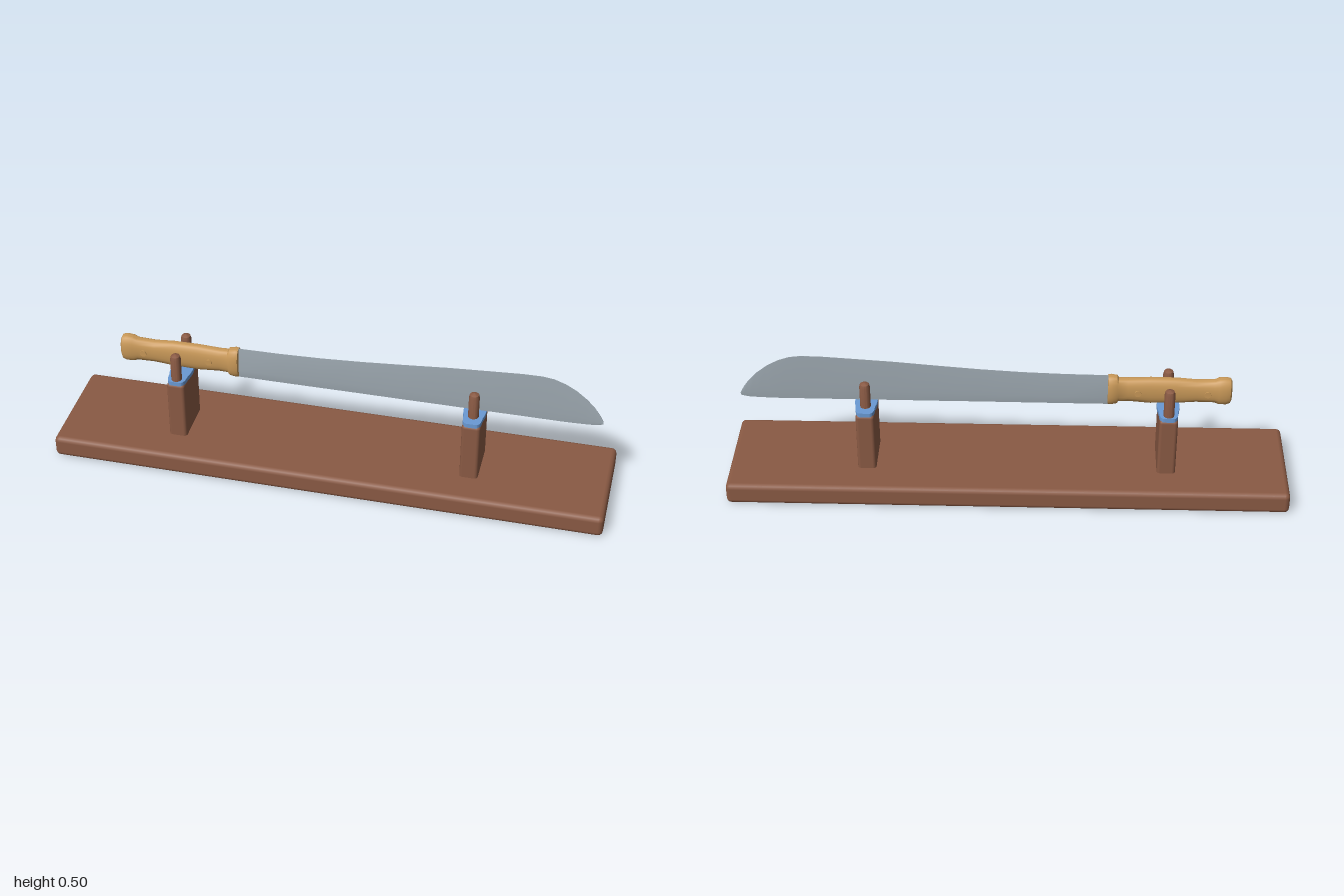
import * as THREE from 'three';
import { toCreasedNormals } from 'three/addons/utils/BufferGeometryUtils.js';
import { RoundedBoxGeometry } from 'three/addons/geometries/RoundedBoxGeometry.js';

const material = (name, color) => {
  const m = new THREE.MeshStandardMaterial({ color });
  m.name = name;
  return m;
};

// Closed solid through rings of [x, y, z] points; rings advance along +x and turn from +y to +z
function loft(rings, crease) {
  const n = rings[0].length, index = [];
  const points = rings.flat();
  for (let i = 0; i < rings.length - 1; i++) {
    for (let j = 0; j < n; j++) {
      const a = i * n + j, b = i * n + (j + 1) % n;
      index.push(a, b, a + n, b, b + n, a + n);
    }
  }
  [0, rings.length - 1].forEach((r, end) => {
    const c = points.length;
    points.push([0, 1, 2].map(k => rings[r].reduce((s, p) => s + p[k], 0) / n));
    for (let j = 0; j < n; j++) {
      const a = r * n + j, b = r * n + (j + 1) % n;
      if (end) index.push(c, a, b);
      else index.push(c, b, a);
    }
  });
  const g = new THREE.BufferGeometry();
  g.setAttribute('position', new THREE.Float32BufferAttribute(points.flat(), 3));
  g.setIndex(index);
  return toCreasedNormals(g, crease);
}

export function createModel() {
  const model = new THREE.Group();
  model.name = 'macheteOnStand';
  const wood = material('dark wood', 0x8a5a44);
  const grip = material('light wood', 0xc89858);
  const steel = material('steel', 0x9da8b0);
  const felt = material('blue felt', 0x6a9ad4);

  const add = (name, geometry, mat, x = 0, y = 0, z = 0) => {
    const mesh = new THREE.Mesh(geometry, mat);
    mesh.name = name;
    mesh.position.set(x, y, z);
    model.add(mesh);
    return mesh;
  };

  // Stand base
  add('base', new RoundedBoxGeometry(2, 0.08, 0.42, 2, 0.018), wood, 0, 0.04, 0);

  // Pad outline: an oblong with narrowed ends
  const padShape = new THREE.Shape();
  padShape.moveTo(-0.034, -0.045);
  padShape.quadraticCurveTo(-0.034, -0.087, -0.016, -0.087);
  padShape.lineTo(0.016, -0.087);
  padShape.quadraticCurveTo(0.034, -0.087, 0.034, -0.045);
  padShape.quadraticCurveTo(0.046, 0, 0.034, 0.045);
  padShape.quadraticCurveTo(0.034, 0.087, 0.016, 0.087);
  padShape.lineTo(-0.016, 0.087);
  padShape.quadraticCurveTo(-0.034, 0.087, -0.034, 0.045);
  padShape.quadraticCurveTo(-0.046, 0, -0.034, -0.045);
  const padGeometry = new THREE.ExtrudeGeometry(padShape, { depth: 0.016, bevelEnabled: false, curveSegments: 6 });
  padGeometry.rotateX(-Math.PI / 2);

  // Posts, pads and pegs
  const supports = [
    { side: 'right', x: -0.565, pegZ: 0.065, pegTop: 0.424 },
    { side: 'left', x: 0.505, pegZ: 0.038, pegTop: 0.416 },
  ];
  for (const { side, x, pegZ, pegTop } of supports) {
    add(side + 'Post', new RoundedBoxGeometry(0.066, 0.24, 0.178, 2, 0.012), wood, x, 0.185, 0);
    add(side + 'Pad', padGeometry, felt, x, 0.3, 0);
    const h = pegTop - 0.29;
    const profile = [[0, 0], [0.019, 0], [0.019, h - 0.018], [0.016, h - 0.007], [0, h]]
      .map(([r, y]) => new THREE.Vector2(r, y));
    const pegGeometry = toCreasedNormals(new THREE.LatheGeometry(profile, 16), 0.6);
    for (const s of [1, -1]) add(side + 'Peg', pegGeometry, wood, x, 0.29, s * pegZ);
  }

  // Handle sections: x, bottom, top, half width
  const handleSections = [
    [-0.785, 0.345, 0.42, 0.02], [-0.78, 0.333, 0.431, 0.027], [-0.765, 0.328, 0.435, 0.03],
    [-0.74, 0.329, 0.433, 0.029], [-0.725, 0.335, 0.426, 0.025], [-0.66, 0.336, 0.424, 0.024],
    [-0.59, 0.33, 0.43, 0.025], [-0.5, 0.328, 0.431, 0.025], [-0.42, 0.335, 0.427, 0.025],
    [-0.388, 0.334, 0.428, 0.026], [-0.382, 0.325, 0.436, 0.03], [-0.36, 0.32, 0.44, 0.031],
    [-0.35, 0.322, 0.438, 0.029],
  ];
  const handleRings = handleSections.map(([x, bottom, top, w]) =>
    Array.from({ length: 24 }, (_, j) => {
      const a = j / 24 * Math.PI * 2, c = Math.cos(a), s = Math.sin(a);
      const round = v => Math.sign(v) * Math.abs(v) ** 0.85;
      return [x, (top + bottom) / 2 + round(c) * (top - bottom) / 2, round(s) * w];
    }));
  add('handle', loft(handleRings, 0.7), grip);

  // Rivets through the handle
  for (const x of [-0.7, -0.455]) {
    add('rivet', new THREE.CylinderGeometry(0.012, 0.012, 0.056, 16), grip, x, 0.378, 0).rotation.x = Math.PI / 2;
  }

  // Blade sections: x, spine, edge, half thickness; flat spine below and curved edge above
  const bladeSections = [
    [-0.36, 0.32, 0.438, 0.009], [-0.2, 0.32, 0.44, 0.009], [-0.05, 0.32, 0.445, 0.008],
    [0.1, 0.32, 0.454, 0.007], [0.25, 0.32, 0.466, 0.007], [0.4, 0.32, 0.479, 0.006],
    [0.55, 0.32, 0.489, 0.006], [0.66, 0.32, 0.496, 0.005], [0.73, 0.32, 0.497, 0.005],
    [0.77, 0.32, 0.492, 0.005], [0.81, 0.32, 0.478, 0.005], [0.85, 0.321, 0.456, 0.005],
    [0.89, 0.322, 0.424, 0.004], [0.92, 0.324, 0.392, 0.004], [0.94, 0.327, 0.363, 0.003],
    [0.952, 0.331, 0.34, 0.002],
  ];
  const bladeRings = bladeSections.map(([x, b, t, w]) => {
    const y = b + (t - b) * 0.25;
    return [[x, t, 0.0005], [x, y, w], [x, b, w * 0.6], [x, b, -w * 0.6], [x, y, -w], [x, t, -0.0005]];
  });
  add('blade', loft(bladeRings, 0.5), steel);

  return model;
}
